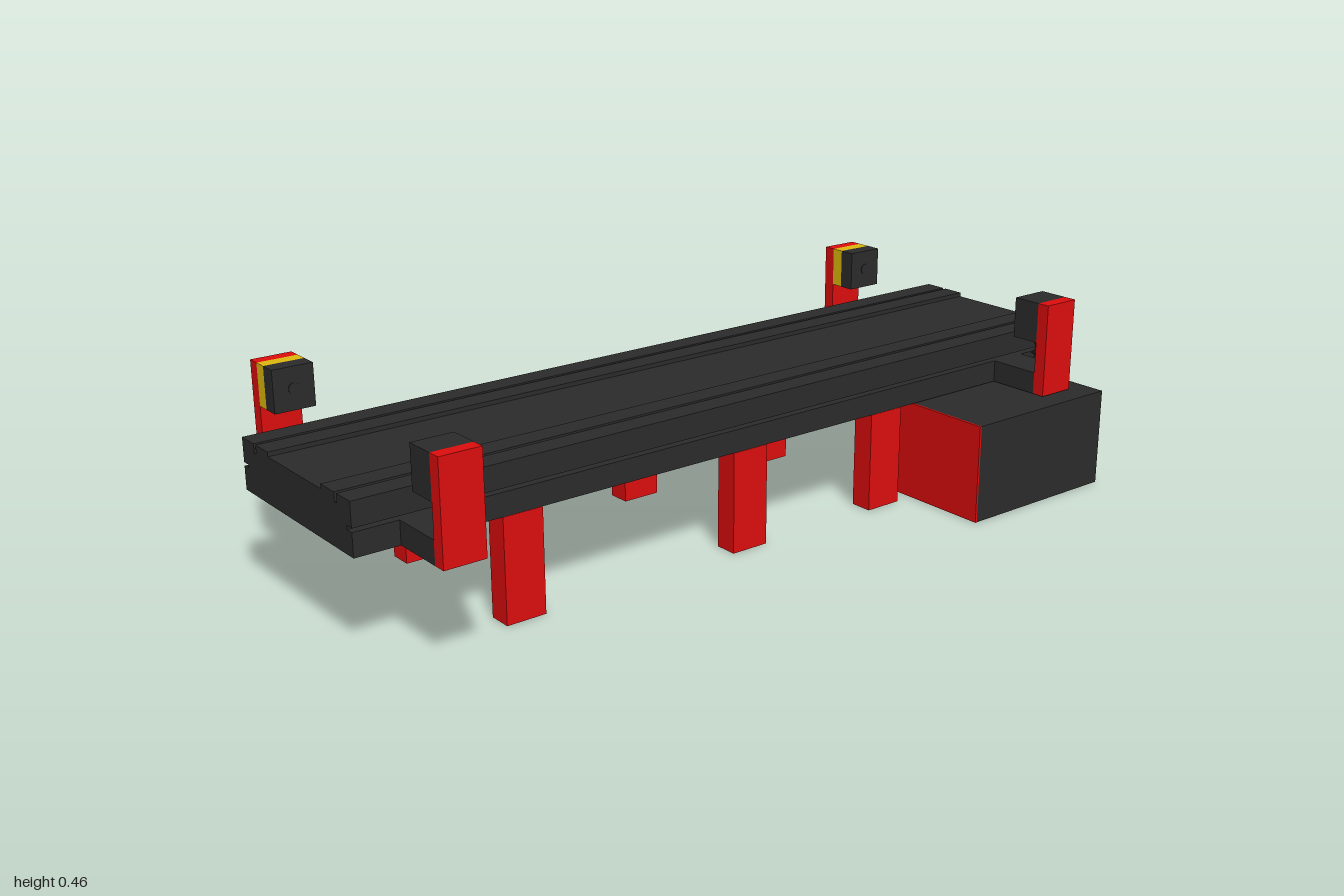
import * as THREE from 'three';

const mat = (color) => new THREE.MeshStandardMaterial({ color, flatShading: true });

export function createModel() {
  const model = new THREE.Group();
  const black = mat(0x2b2b2b), red = mat(0xdd0d0d), yellow = mat(0xddb80d);

  const add = (name, geometry, material, parent = model) => {
    const mesh = new THREE.Mesh(geometry, material);
    mesh.name = name;
    parent.add(mesh);
    return mesh;
  };
  // Box given by its limits on each axis
  const box = (name, material, x0, x1, y0, y1, z0, z1, parent) => {
    const mesh = add(name, new THREE.BoxGeometry(x1 - x0, y1 - y0, z1 - z0), material, parent);
    mesh.position.set((x0 + x1) / 2, (y0 + y1) / 2, (z0 + z1) / 2);
    return mesh;
  };
  // Cylinder lying along x, given by its end positions
  const disc = (name, material, r, x0, x1, y, z, parent, sides = 24) => {
    const mesh = add(name, new THREE.CylinderGeometry(r, r, x1 - x0, sides).rotateZ(Math.PI / 2), material, parent);
    mesh.position.set((x0 + x1) / 2, y, z);
    return mesh;
  };

  // Conveyor bed: mirrored rail profile with slots and side grooves, extruded along z
  const centre = -0.028;
  const half = [[0.228, 0.235], [0.228, 0.287], [0.209, 0.287], [0.209, 0.295], [0.228, 0.295],
    [0.228, 0.349], [0.175, 0.349], [0.175, 0.329], [0.166, 0.329], [0.166, 0.349],
    [0.112, 0.349], [0.112, 0.339]];
  const outline = [...half, ...half.map(([x, y]) => [-x, y]).reverse()];
  const profile = new THREE.Shape(outline.map(([x, y]) => new THREE.Vector2(x + centre, y)));
  const bed = add('conveyorBed', new THREE.ExtrudeGeometry(profile, { depth: 1.97, bevelEnabled: false }), black);
  bed.position.z = -0.97;

  // Three pairs of legs
  for (const z of [0.627, 0.038, -0.372]) {
    for (const x of [-0.228, 0.174]) {
      box('leg', red, x - 0.027, x + 0.027, 0, 0.235, z - 0.047, z + 0.047);
    }
  }

  // Sensor stations: bracket, post and head on both sides, at both ends
  for (const z of [0.853, -0.783]) {
    for (const side of [-1, 1]) {
      const station = new THREE.Group();
      station.name = side < 0 ? 'rightSensorStation' : 'leftSensorStation';
      model.add(station);
      const part = (name, material, a, b, y0, y1) => {
        const p = centre + side * a, q = centre + side * b;
        box(name, material, Math.min(p, q), Math.max(p, q), y0, y1, z - 0.047, z + 0.047, station);
      };
      part('bracket', black, 0.228, 0.353, 0.235, 0.287);
      part('post', red, 0.353, 0.383, 0.235, 0.457);
      if (side < 0) part('spacer', yellow, 0.322, 0.353, 0.361, 0.457);
      part('sensorHead', black, 0.283, side < 0 ? 0.322 : 0.353, 0.361, 0.457);
      const face = centre + side * 0.283;
      disc('lens', black, 0.013, face - 0.002, face + 0.002, 0.409, z, station, 16);
    }
  }

  // Control cabinet with a coloured front panel
  box('cabinet', black, 0.07, 0.41, 0, 0.233, -0.887, -0.468);
  box('cabinetFront', red, 0.07, 0.41, 0, 0.233, -0.468, -0.463);

  // Spiked drive wheel on the side of the bed
  const wheel = new THREE.Group();
  wheel.name = 'driveWheel';
  wheel.position.set(0, 0.275, -0.928);
  model.add(wheel);
  disc('wheelRim', black, 0.05, 0.199, 0.217, 0, 0, wheel, 32);
  disc('wheelFace', red, 0.05, 0.217, 0.222, 0, 0, wheel, 32);
  box('wheelHub', red, 0.222, 0.242, -0.048, 0.048, -0.02, 0.02, wheel);
  disc('wheelShaft', black, 0.006, 0.242, 0.26, 0, 0, wheel, 12);
  const teeth = 18;
  for (let i = 0; i < teeth; i++) {
    const a = (i / teeth) * Math.PI * 2;
    const tooth = add('tooth', new THREE.ConeGeometry(0.008, 0.026, 6), black, wheel);
    tooth.position.set(0.208, Math.cos(a) * 0.059, Math.sin(a) * 0.059);
    tooth.rotation.x = a;
  }
  return model;
}
